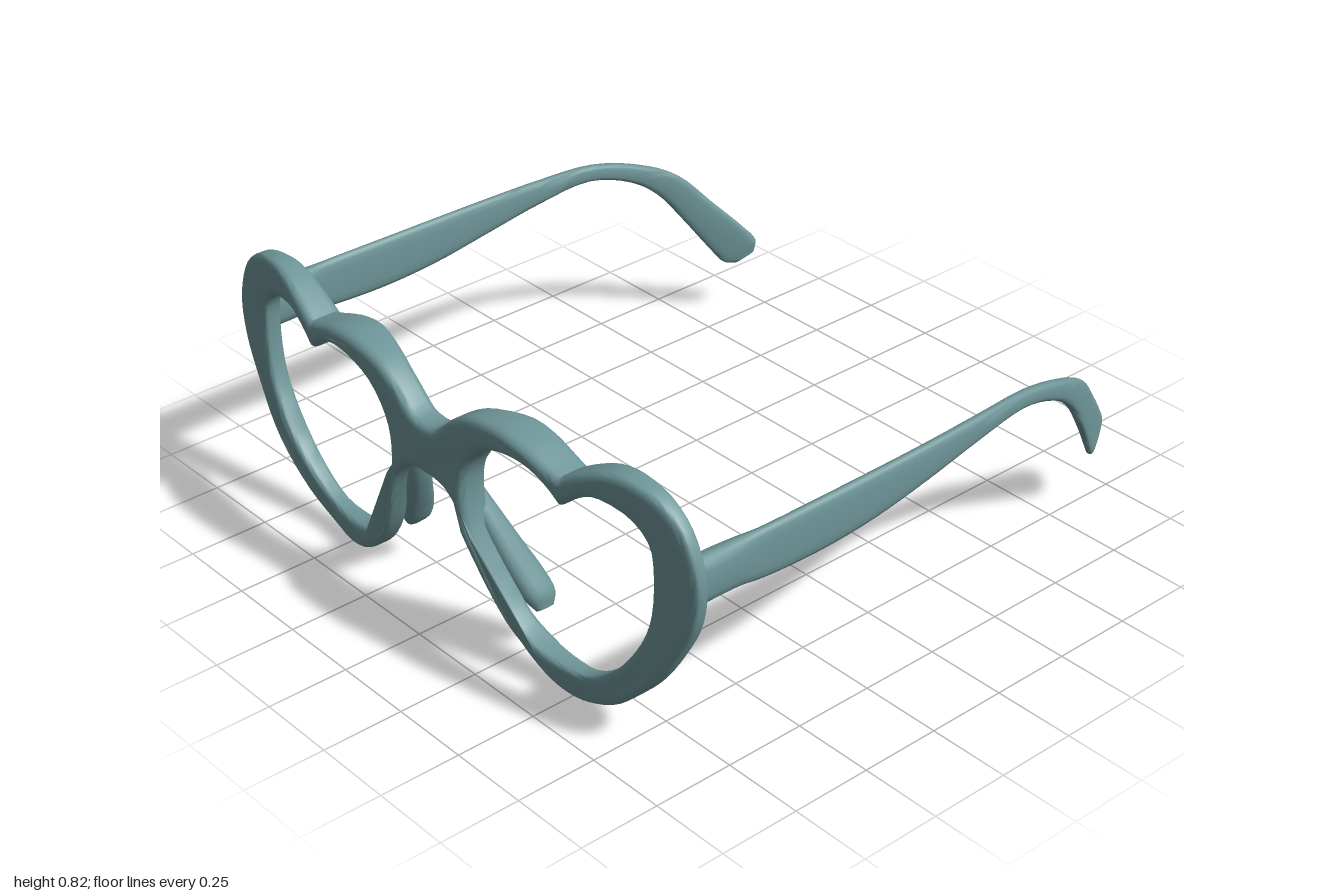
import * as THREE from 'three';
import { toCreasedNormals } from 'three/addons/utils/BufferGeometryUtils.js';

const V = (x, y, z) => new THREE.Vector3(x, y, z);
const smooth = THREE.MathUtils.smoothstep;
const lerp = THREE.MathUtils.lerp;

// Smooth 2D curve through a few points
function spline(pts, n) {
  return new THREE.SplineCurve(pts.map(p => new THREE.Vector2(p[0], p[1]))).getPoints(n);
}

// Closed tapered body between two edge curves.
// Station: [edgeA, edgeB, halfThickness], rounded cross-section
function loft(stations, steps, sides, power) {
  const A = new THREE.CatmullRomCurve3(stations.map(s => s[0]));
  const B = new THREE.CatmullRomCurve3(stations.map(s => s[1]));
  const T = new THREE.SplineCurve(stations.map((s, i) => new THREE.Vector2(i, s[2])));
  const mid = u => A.getPoint(u).add(B.getPoint(u)).multiplyScalar(0.5);
  const round = v => Math.sign(v) * Math.pow(Math.abs(v), power);
  const pos = [], index = [];
  for (let i = 0; i <= steps; i++) {
    const u = i / steps;
    const c = mid(u);
    const half = A.getPoint(u).sub(B.getPoint(u)).multiplyScalar(0.5);
    const tangent = mid(Math.min(1, u + 0.01)).sub(mid(Math.max(0, u - 0.01)));
    const n = tangent.cross(half).normalize().multiplyScalar(T.getPoint(u).y);
    for (let j = 0; j < sides; j++) {
      const a = (j / sides) * Math.PI * 2;
      const p = c.clone().addScaledVector(half, round(Math.cos(a))).addScaledVector(n, round(Math.sin(a)));
      pos.push(p.x, p.y, p.z);
    }
  }
  const first = pos.length / 3;
  for (const u of [0, 1]) pos.push(...mid(u).toArray());
  for (let j = 0; j < sides; j++) {
    const k = (j + 1) % sides, end = steps * sides;
    for (let i = 0; i < steps; i++) {
      const r = i * sides, q = r + sides;
      index.push(r + j, r + k, q + j, r + k, q + k, q + j);
    }
    index.push(first, k, j, first + 1, end + j, end + k);
  }
  const g = new THREE.BufferGeometry();
  g.setAttribute('position', new THREE.Float32BufferAttribute(pos, 3));
  g.setIndex(index);
  return toCreasedNormals(g, 0.9);
}

// Heart-shaped double rim, rounded and wrapped backwards at the sides
function frameGeometry() {
  const brow = spline([[0, 0.655], [0.05, 0.665], [0.12, 0.725], [0.2, 0.77], [0.32, 0.79],
    [0.42, 0.778], [0.5, 0.75], [0.54, 0.737]], 22);
  const lobe = spline([[0.54, 0.737], [0.6, 0.773], [0.68, 0.81], [0.76, 0.822], [0.86, 0.803],
    [0.94, 0.745], [0.985, 0.66], [1, 0.57], [0.98, 0.46], [0.93, 0.36], [0.86, 0.25],
    [0.78, 0.16], [0.68, 0.07], [0.58, 0.015], [0.5, 0], [0.42, 0.02], [0.34, 0.075],
    [0.27, 0.16], [0.22, 0.26], [0.18, 0.36], [0.14, 0.435], [0.09, 0.485], [0.04, 0.5], [0, 0.5]], 68);
  const half = [...brow, ...lobe.slice(1)];
  const flip = p => new THREE.Vector2(-p.x, p.y);
  // Outline runs clockwise, both holes counter-clockwise
  const shape = new THREE.Shape([...half, ...half.slice(1, -1).reverse().map(flip)]);

  const hole = spline([[0.54, 0.65], [0.49, 0.69], [0.42, 0.717], [0.33, 0.715], [0.24, 0.68],
    [0.18, 0.61], [0.16, 0.53], [0.17, 0.42], [0.215, 0.31], [0.265, 0.215], [0.32, 0.145],
    [0.4, 0.11], [0.48, 0.1], [0.57, 0.108], [0.66, 0.165], [0.74, 0.25], [0.81, 0.36],
    [0.84, 0.46], [0.845, 0.58], [0.83, 0.66], [0.765, 0.71], [0.66, 0.722], [0.59, 0.69],
    [0.54, 0.65]], 64).slice(0, -1);
  shape.holes.push(new THREE.Path(hole), new THREE.Path(hole.map(flip).reverse()));

  const g = new THREE.ExtrudeGeometry(shape, {
    depth: 0.5, bevelThickness: 0.25, bevelSize: 0.024, bevelOffset: -0.024, bevelSegments: 4,
  });
  // Depth 0..1 is mapped between a curved back and a curved front
  const front = new THREE.SplineCurve([[0, 0.955], [0.2, 0.955], [0.4, 0.95], [0.6, 0.925],
    [0.8, 0.89], [1, 0.863]].map(p => new THREE.Vector2(...p)));
  const pos = g.attributes.position;
  for (let i = 0; i < pos.count; i++) {
    const x = Math.min(1, Math.abs(pos.getX(i))), y = pos.getY(i), t = pos.getZ(i) + 0.25;
    const lean = Math.max(0, 0.4 - y) * 0.17 * (1 - smooth(x, 0.55, 0.9));
    const back = lerp(0.865, 0.82, smooth(x, 0.12, 0.38));
    pos.setZ(i, lerp(back, front.getPoint(x).y - lean, t));
  }
  return toCreasedNormals(g, 0.8);
}

// Side arm: [top x, y, z, bottom x, y, z, half thickness]
const ARM = [
  [0.94, 0.645, 0.85, 0.94, 0.51, 0.85, 0.034],
  [0.94, 0.645, 0.76, 0.94, 0.51, 0.76, 0.034],
  [0.943, 0.645, 0.68, 0.943, 0.508, 0.68, 0.028],
  [0.947, 0.645, 0.6, 0.947, 0.495, 0.6, 0.018],
  [0.947, 0.645, 0.4, 0.947, 0.487, 0.4, 0.017],
  [0.946, 0.645, 0.2, 0.946, 0.5, 0.2, 0.017],
  [0.943, 0.645, 0, 0.943, 0.533, 0, 0.017],
  [0.935, 0.645, -0.2, 0.935, 0.57, -0.2, 0.017],
  [0.919, 0.638, -0.41, 0.921, 0.59, -0.39, 0.017],
  [0.893, 0.592, -0.58, 0.9, 0.545, -0.54, 0.018],
  [0.857, 0.527, -0.71, 0.88, 0.475, -0.64, 0.017],
  [0.812, 0.41, -0.82, 0.85, 0.36, -0.73, 0.015],
  [0.766, 0.31, -0.91, 0.816, 0.245, -0.81, 0.013],
  [0.746, 0.255, -0.95, 0.795, 0.187, -0.855, 0.012],
  [0.748, 0.215, -0.945, 0.776, 0.18, -0.89, 0.008],
];

// Nose pad: [x, y, front z, back z, half thickness]
const PAD = [
  [0.12, 0.49, 0.91, 0.855, 0.018],
  [0.16, 0.4, 0.895, 0.82, 0.027],
  [0.205, 0.31, 0.875, 0.785, 0.03],
  [0.245, 0.235, 0.855, 0.755, 0.03],
  [0.277, 0.175, 0.835, 0.742, 0.029],
  [0.292, 0.143, 0.815, 0.757, 0.014],
];

export function createModel() {
  const group = new THREE.Group();
  const teal = new THREE.MeshStandardMaterial({ color: 0x6f9699 });
  teal.name = 'dusty teal plastic';
  const add = (name, geometry) => {
    const mesh = new THREE.Mesh(geometry, teal);
    mesh.name = name;
    group.add(mesh);
  };

  add('heartFrame', frameGeometry());
  for (const [side, s] of [['left', 1], ['right', -1]]) {
    add(side + 'Arm', loft(ARM.map(([ax, ay, az, bx, by, bz, t]) =>
      [V(s * ax, ay, az), V(s * bx, by, bz), t]), 56, 16, 0.6));
    add(side + 'NosePad', loft(PAD.map(([x, y, f, b, t]) =>
      [V(s * x, y, f), V(s * x, y, b), t]), 16, 14, 0.85));
  }
  return group;
}
